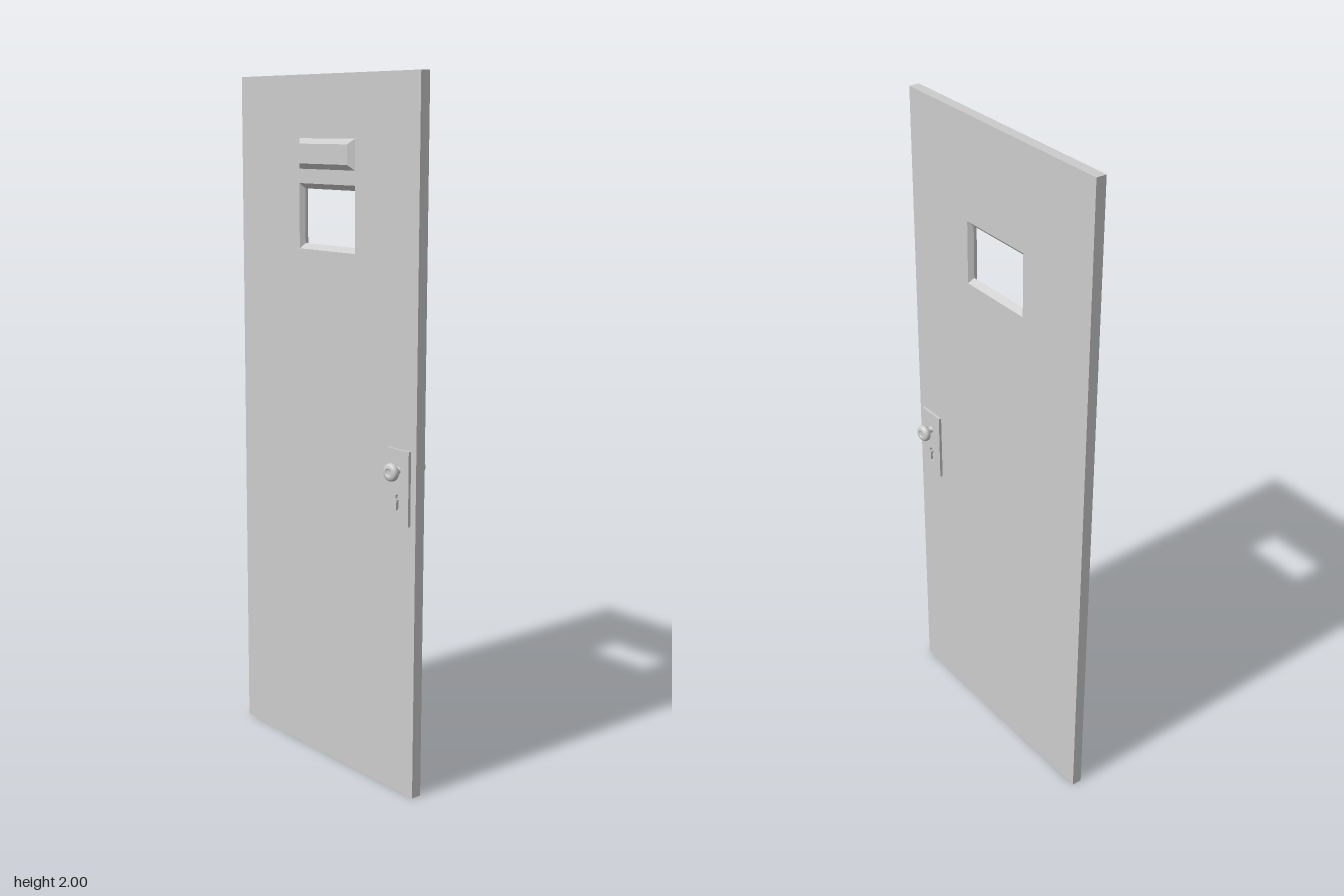
import * as THREE from 'three';

const material = new THREE.MeshStandardMaterial({ color: 0xcccccc });
const HALF = 0.0155; // half the door thickness

function add(parent, name, geometry) {
  const mesh = new THREE.Mesh(geometry, material);
  mesh.name = name;
  parent.add(mesh);
  return mesh;
}

// Rectangle outline in (z, y)
function rect(path, z0, z1, y0, y1) {
  path.moveTo(z0, y0).lineTo(z1, y0).lineTo(z1, y1).lineTo(z0, y1).closePath();
  return path;
}

// Extrude a (z, y) outline along x, from x0 to x0 + depth
function extrudeX(shape, x0, depth, steps = 1) {
  return new THREE.ExtrudeGeometry(shape, { depth, steps, bevelEnabled: false, curveSegments: 10 })
    .rotateY(-Math.PI / 2)
    .translate(x0 + depth, 0, 0);
}

function doorGeometry() {
  const win = { z0: -0.115, z1: 0.131, y0: 1.515, y1: 1.7 };
  const shape = rect(new THREE.Shape(), -0.39, 0.39, 0, 2);
  shape.holes.push(rect(new THREE.Path(), win.z0, win.z1, win.y0, win.y1));
  const geo = extrudeX(shape, -HALF, HALF * 2, 2);
  // Pinch the window opening at mid thickness so both sides are splayed
  const p = geo.attributes.position;
  const cz = (win.z0 + win.z1) / 2, cy = (win.y0 + win.y1) / 2;
  for (let i = 0; i < p.count; i++) {
    const y = p.getY(i), z = p.getZ(i);
    const inWindow = Math.abs(z) < 0.2 && y > 1.4 && y < 1.8;
    if (inWindow && Math.abs(p.getX(i)) < 0.001) {
      p.setY(i, y - Math.sign(y - cy) * 0.015);
      p.setZ(i, z - Math.sign(z - cz) * 0.008);
    }
  }
  geo.computeVertexNormals();
  return geo;
}

// Name plate: a box whose outer face is drawn in
function signGeometry() {
  const geo = new THREE.BoxGeometry(0.014, 0.085, 0.244).toNonIndexed();
  const p = geo.attributes.position;
  for (let i = 0; i < p.count; i++) {
    if (p.getX(i) < 0) {
      p.setY(i, p.getY(i) - Math.sign(p.getY(i)) * 0.015);
      p.setZ(i, p.getZ(i) - Math.sign(p.getZ(i)) * 0.018);
    }
  }
  geo.computeVertexNormals();
  return geo.translate(-HALF - 0.007, 1.783, 0.008);
}

// Lock plate with a keyhole cut through it
function lockPlateShape() {
  const shape = rect(new THREE.Shape(), 0.281, 0.369, 0.79, 1.0);
  const hole = new THREE.Path();
  hole.moveTo(0.319, 0.828).lineTo(0.331, 0.828).lineTo(0.329, 0.857);
  hole.absarc(0.325, 0.865, 0.009, -1.1, Math.PI + 1.1, false);
  hole.closePath();
  shape.holes.push(hole);
  return shape;
}

// Knob with stem, turned about an axis leaving the door
function knobGeometry() {
  const profile = new THREE.SplineCurve([
    [0.011, 0], [0.008, 0.004], [0.008, 0.016], [0.013, 0.019], [0.021, 0.021], [0.025, 0.026],
    [0.025, 0.033], [0.021, 0.039], [0.012, 0.0415], [0.009, 0.0395], [0.0005, 0.0385],
  ].map(([r, h]) => new THREE.Vector2(r, h))).getPoints(30);
  profile.push(new THREE.Vector2(0, 0.0385));
  return new THREE.LatheGeometry(profile, 24);
}

export function createModel() {
  const group = new THREE.Group();
  group.name = 'door';
  add(group, 'doorPanel', doorGeometry());
  add(group, 'namePlate', signGeometry());

  // Lock plate and knob on each face
  const plate = lockPlateShape();
  for (const side of [1, -1]) {
    const name = side > 0 ? 'left' : 'right';
    add(group, name + 'LockPlate', extrudeX(plate, side > 0 ? HALF : -0.024, 0.024 - HALF));
    const knob = add(group, name + 'Knob', knobGeometry());
    knob.position.set(side * 0.0235, 0.942, 0.3255 - side * 0.002);
    knob.quaternion.setFromUnitVectors(
      new THREE.Vector3(0, 1, 0),
      new THREE.Vector3(side, 0, -side * 0.1).normalize()
    );
  }
  return group;
}
